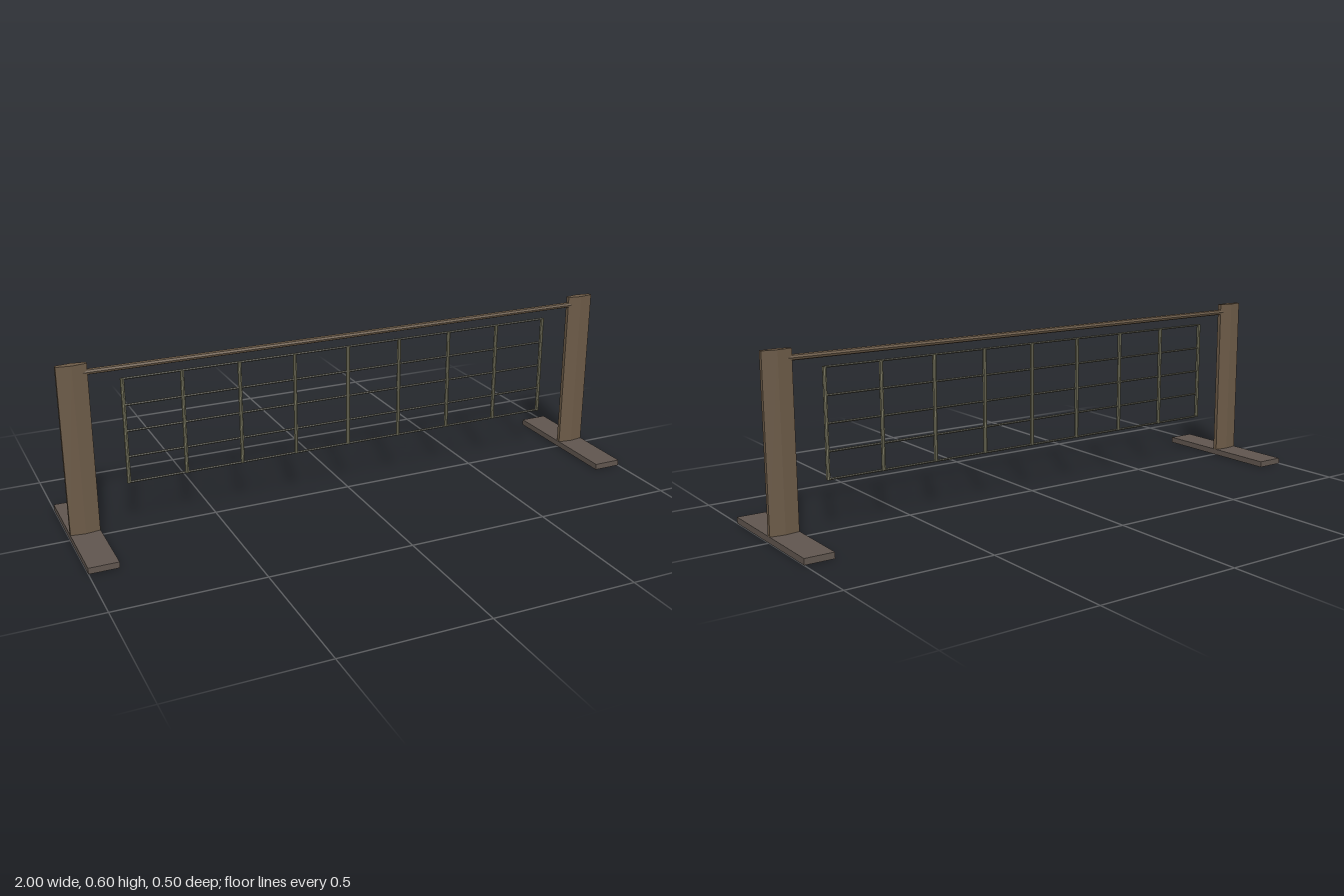
import * as THREE from 'three';

const material = (color) => new THREE.MeshStandardMaterial({ color, flatShading: true });

function addPart(parent, name, geometry, mat, x, y, z = 0) {
  const mesh = new THREE.Mesh(geometry, mat);
  mesh.name = name;
  mesh.position.set(x, y, z);
  parent.add(mesh);
  return mesh;
}

export function createModel() {
  const model = new THREE.Group();
  model.name = 'hurdleNet';
  const wood = material(0x6b5a47);
  const footWood = material(0x5f554e);
  const rodMetal = material(0x75735c);
  const wireMetal = material(0x5a594c);

  // Flattened hexagonal posts on long flat feet
  const footGeo = new THREE.BoxGeometry(0.1, 0.021, 0.5);
  const postGeo = new THREE.CylinderGeometry(1, 1, 0.58, 6);
  postGeo.scale(0.0495 / Math.cos(Math.PI / 6), 1, 0.015);
  for (const side of [-1, 1]) {
    const stand = new THREE.Group();
    stand.name = side > 0 ? 'leftStand' : 'rightStand';
    addPart(stand, 'foot', footGeo, footWood, side * 0.95, 0.0105);
    addPart(stand, 'post', postGeo, wood, side * 0.95, 0.31);
    model.add(stand);
  }

  // Top rail running between the posts
  const railGeo = new THREE.CylinderGeometry(0.01, 0.01, 1.9, 8);
  railGeo.rotateZ(Math.PI / 2);
  addPart(model, 'topRail', railGeo, wood, 0, 0.57);

  // Hanging grid: upright rods crossed by thin wires
  const grid = new THREE.Group();
  grid.name = 'grid';
  const rodGeo = new THREE.CylinderGeometry(0.007, 0.007, 0.363, 8);
  for (let i = 0; i <= 8; i++) {
    addPart(grid, 'uprightRod', rodGeo, rodMetal, -0.792 + i * 0.198, 0.35);
  }
  const wireGeo = new THREE.CylinderGeometry(0.004, 0.004, 1.584, 6);
  wireGeo.rotateZ(Math.PI / 2);
  for (let i = 0; i < 5; i++) {
    addPart(grid, 'crossWire', wireGeo, wireMetal, 0, 0.17 + i * 0.09);
  }
  model.add(grid);
  return model;
}
